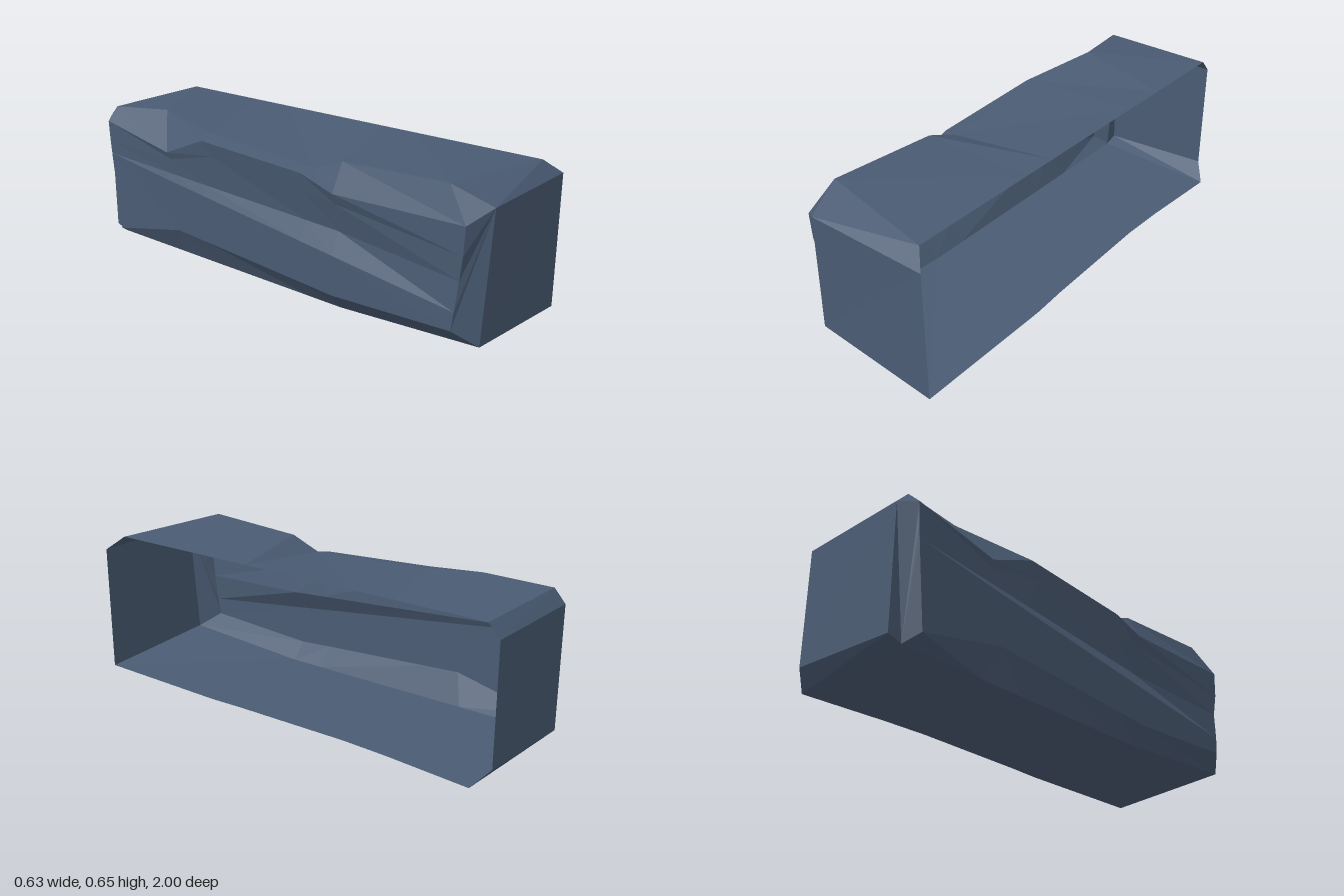
import * as THREE from 'three';

// Depths of the inner cross-sections, between the front and back ends
const stations = [0.35, 0.19, -0.35, -0.56];

// Rail sampled along a straight line, with an optional sideways offset by rule
function straightRail(start, end, offsetX = () => 0) {
  const middle = stations.map((z) => {
    const t = (start[2] - z) / (start[2] - end[2]);
    const x = THREE.MathUtils.lerp(start[0], end[0], t) + offsetX(t);
    return [x, THREE.MathUtils.lerp(start[1], end[1], t), z];
  });
  return [start, ...middle, end];
}

// Worn top edge, with a dip behind the front hump
const topWorn = [
  [-0.265, 0.648, 0.84], [-0.25, 0.625, 0.35], [-0.25, 0.57, 0.21],
  [-0.235, 0.6, -0.36], [-0.2, 0.646, -0.67], [-0.25, 0.626, -0.95],
];
// Chipped upper edge of the side wall
const wallTop = [
  [-0.316, 0.525, 0.94], [-0.312, 0.51, 0.35], [-0.31, 0.56, 0.19],
  [-0.31, 0.588, -0.35], [-0.31, 0.495, -0.565], [-0.31, 0.57, -0.945],
];
// Crease between the upper edge and the groove
const crease = [
  [-0.315, 0.41, 0.935], [-0.295, 0.465, 0.35], [-0.295, 0.48, 0.19],
  [-0.3, 0.525, -0.3], [-0.3, 0.465, -0.555], [-0.31, 0.475, -0.94],
];
// Lower edge of the side wall
const wallBottom = [
  [-0.318, 0.11, 0.9], [-0.312, 0.085, 0.35], [-0.312, 0.097, 0.19],
  [-0.31, 0.134, -0.35], [-0.31, 0.145, -0.51], [-0.31, 0.06, -0.9],
];
const topOpen = straightRail([0.257, 0.625, 0.93], [0.255, 0.625, -0.95]);
// Groove that is deepest near the front and closes toward the back
const groove = straightRail([-0.308, 0.31, 0.92], [-0.31, 0.42, -0.935], (t) => 0.06 * (1 - t));
const grooveLip = straightRail([-0.316, 0.187, 0.91], [-0.31, 0.416, -0.935]);
// Floor, lifted at its front corner
const floorWall = straightRail([-0.25, 0.005, 0.985], [-0.25, 0.02, -0.94]);
floorWall[0][1] = 0.045;
// Open floor edge, with a shallow waist in its back part
const floorOpen = straightRail([0.317, 0, 0.99], [0.312, 0, -0.94],
  (t) => -0.028 * Math.max(0, Math.sin((Math.PI * (t - 0.34)) / 0.66)));

// Ordered around the section, from the open top edge to the open floor edge
const rails = [topOpen, topWorn, wallTop, crease, groove, grooveLip, wallBottom, floorWall, floorOpen];

// Flat-faced mesh from a list of convex polygons
function facetMesh(name, polygons, material) {
  const positions = [];
  for (const p of polygons) {
    for (let i = 1; i < p.length - 1; i++) positions.push(...p[0], ...p[i], ...p[i + 1]);
  }
  const geometry = new THREE.BufferGeometry();
  geometry.setAttribute('position', new THREE.Float32BufferAttribute(positions, 3));
  geometry.computeVertexNormals();
  const mesh = new THREE.Mesh(geometry, material);
  mesh.name = name;
  return mesh;
}

// Strips between neighbouring rails
function strips(from, to) {
  const faces = [];
  for (let r = from; r < to; r++) {
    for (let s = 0; s < rails[r].length - 1; s++) {
      const a = rails[r][s], b = rails[r + 1][s];
      const c = rails[r + 1][s + 1], d = rails[r][s + 1];
      faces.push([a, d, b], [d, c, b]);
    }
  }
  return faces;
}

// End panel with its bevels to the top and the side wall
function endCap(ring, upperOpen, upperWall, lowerWall, lowerOpen) {
  return [
    [ring[0], ring[1], upperWall, upperOpen],
    [upperWall, ring[1], ring[2]],
    [upperOpen, upperWall, lowerWall, lowerOpen],
    [upperWall, ...ring.slice(2, 8)],
  ];
}

export function createModel() {
  const stone = new THREE.MeshStandardMaterial({ color: 0x4a5b73, flatShading: true, side: THREE.DoubleSide });
  stone.name = 'slateBlue';

  // The front panel runs straight down to the floor corners
  const front = rails.map((r) => r[0]);
  const frontFaces = endCap(front, [0.317, 0.568, 0.99], [-0.22, 0.58, 1], front[7], front[8]);

  // The back panel has an extra bevel to the floor
  const back = rails.map((r) => r[r.length - 1]);
  const lowerWall = [-0.25, 0.04, -1];
  const lowerOpen = [0.255, 0.07, -1];
  const upperWall = [-0.25, 0.57, -1];
  const backFaces = endCap(back, [0.255, 0.57, -1], upperWall, lowerWall, lowerOpen);
  backFaces.push([upperWall, back[7], lowerWall], [lowerOpen, lowerWall, back[7], back[8]]);

  const group = new THREE.Group();
  group.name = 'wornStoneBlock';
  group.add(
    facetMesh('topAndBevel', strips(0, 2), stone),
    facetMesh('wornSideWall', strips(2, 6), stone),
    facetMesh('floorAndBevel', strips(6, 8), stone),
    facetMesh('frontEnd', frontFaces, stone),
    facetMesh('backEnd', backFaces.map((f) => f.reverse()), stone),
  );
  return group;
}
